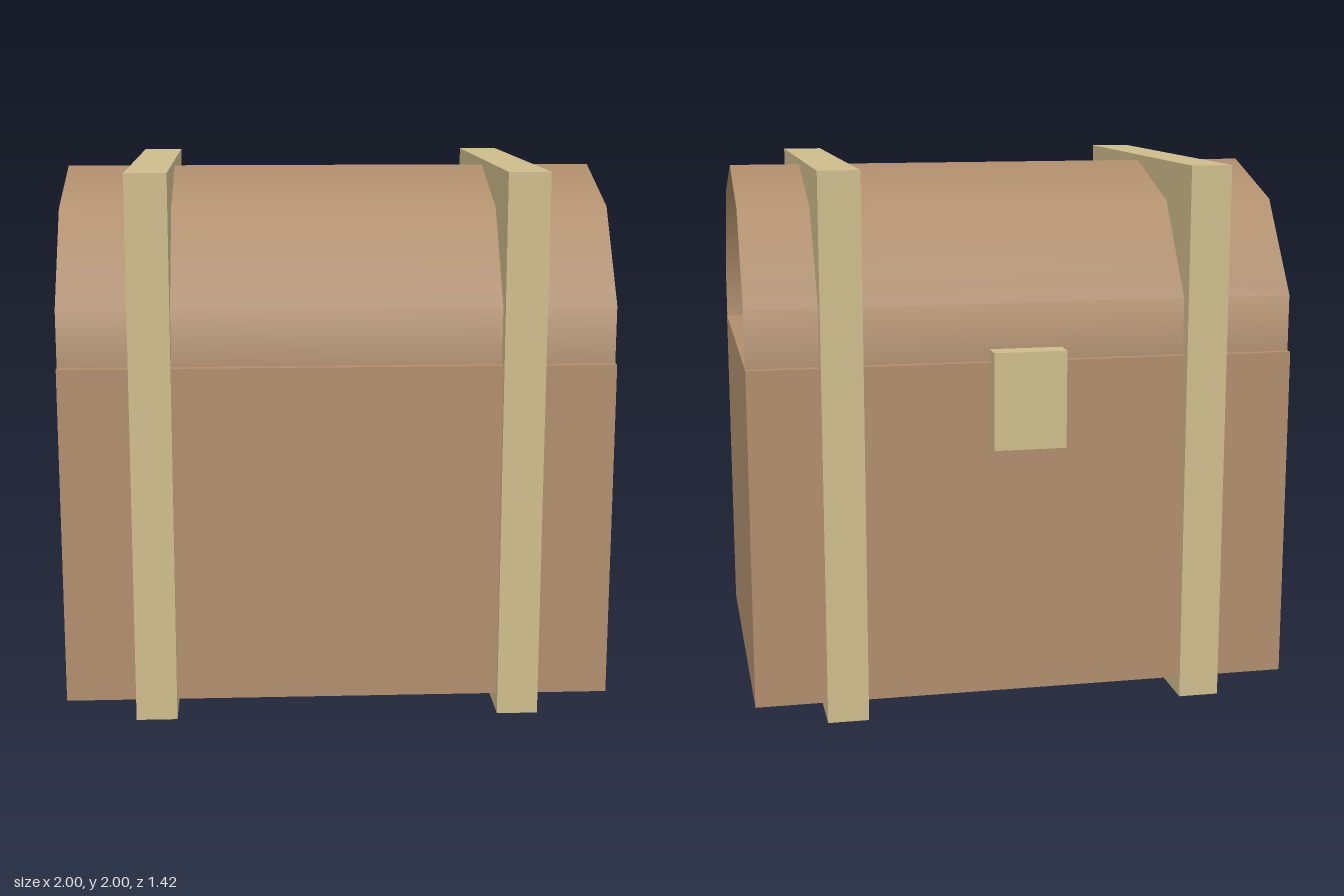
import * as THREE from 'three';

export function createModel() {
  const wood = new THREE.MeshStandardMaterial({ color: 0xb08e6c, side: THREE.DoubleSide });
  wood.name = 'brown wood';
  const brass = new THREE.MeshStandardMaterial({ color: 0xcdbc8b });
  brass.name = 'pale brass';

  const chest = new THREE.Group();
  chest.name = 'chest';

  // Adds a box given its extents along each axis
  function addBox(name, material, [x0, x1], [y0, y1], [z0, z1]) {
    const mesh = new THREE.Mesh(new THREE.BoxGeometry(x1 - x0, y1 - y0, z1 - z0), material);
    mesh.position.set((x0 + x1) / 2, (y0 + y1) / 2, (z0 + z1) / 2);
    mesh.name = name;
    chest.add(mesh);
  }

  addBox('body', wood, [-1, 1], [0.07, 1.31], [-0.645, 0.685]);

  // Ten-sided open barrel, sunk to its middle in the body, with a ridge on top
  const barrel = new THREE.CylinderGeometry(0.667, 0.667, 2, 10, 1, true, Math.PI / 10, Math.PI * 2);
  barrel.rotateZ(Math.PI / 2);
  const lid = new THREE.Mesh(barrel, wood);
  lid.position.set(0, 1.312, 0.018);
  lid.name = 'lid';
  chest.add(lid);

  // Solid slab bands that run right through the chest
  addBox('leftBand', brass, [0.59, 0.74], [0, 2], [-0.67, 0.71]);
  addBox('rightBand', brass, [-0.745, -0.595], [0, 2], [-0.67, 0.71]);

  // Latch on the back
  addBox('latch', brass, [-0.135, 0.13], [1.0, 1.355], [-0.71, -0.625]);

  return chest;
}
